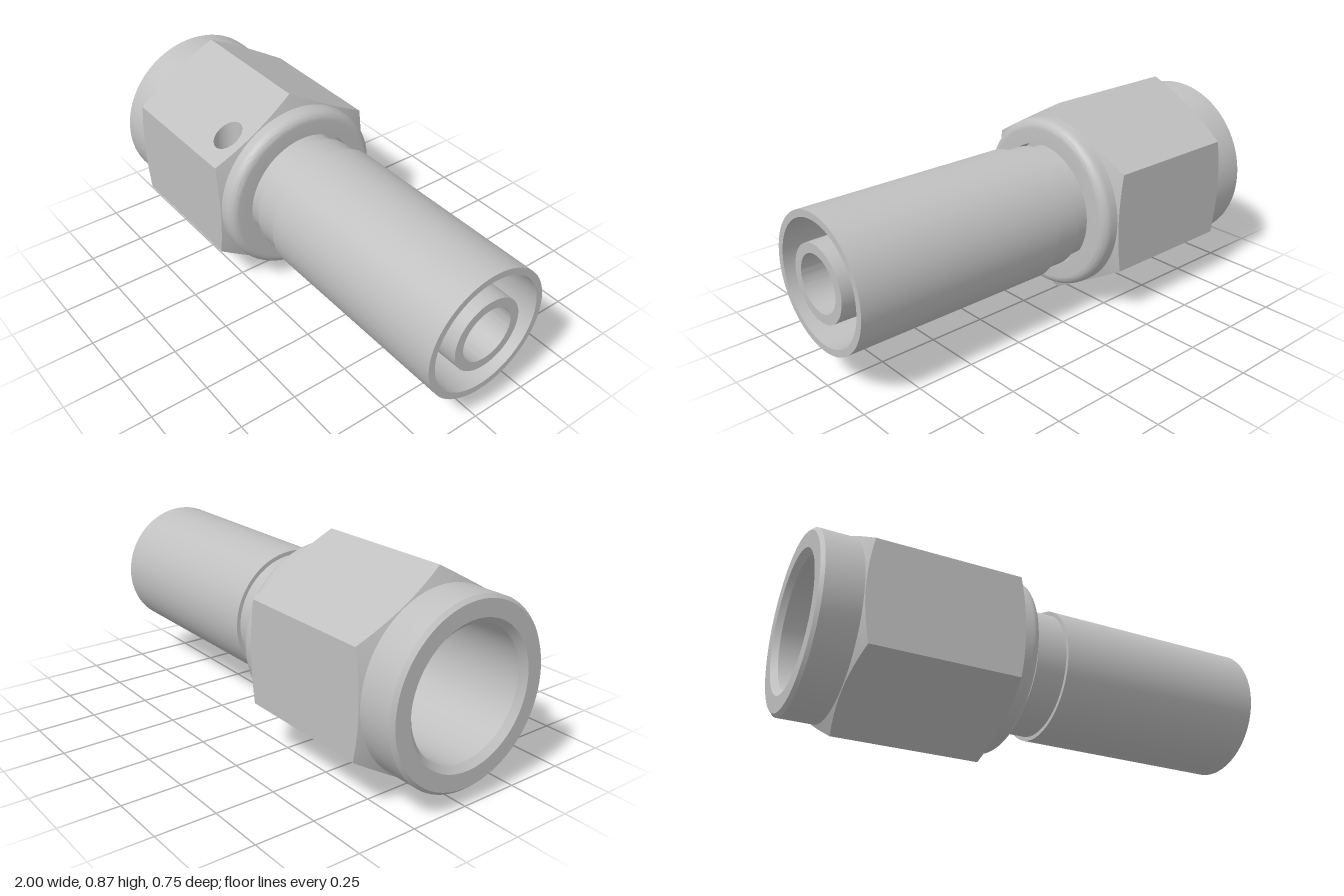
import * as THREE from 'three';
import { mergeGeometries, toCreasedNormals } from 'three/addons/utils/BufferGeometryUtils.js';

const AXIS_Y = 0.436;   // height of the long axis
const APOTHEM = 0.377;  // hex nut centre to flat
const HALF = APOTHEM * Math.tan(Math.PI / 6);
const CREASE = 0.5;

// Turned part: [x, radius] pairs, outside listed towards +x
function turned(profile) {
  const points = profile.map(([x, r]) => new THREE.Vector2(r, x));
  const g = new THREE.LatheGeometry(points, 96);
  g.rotateZ(-Math.PI / 2);
  return toCreasedNormals(g, CREASE);
}

// Ends of the hex, trimmed by shallow chamfer cones
const leftEnd = (r) => -0.835 + 0.42 * (r - APOTHEM);
const rightEnd = (r) => -0.185 - 0.34 * (r - APOTHEM);

// Positions across one flat, corner to corner
const STEPS = 16;
const across = Array.from({ length: STEPS + 1 }, (_, i) => -HALF + (2 * HALF * i) / STEPS);

// One flat of the hex, facing +z, optionally drilled
function hexFlat(hole) {
  const edge = (v, end) => new THREE.Vector2(end(Math.hypot(APOTHEM, v)), v);
  const shape = new THREE.Shape([
    ...across.map((v) => edge(v, rightEnd)),
    ...[...across].reverse().map((v) => edge(v, leftEnd)),
  ]);
  if (hole) {
    const path = new THREE.Path();
    path.absellipse(hole.x, hole.v, hole.r, hole.r / Math.cos(Math.PI / 6), 0, Math.PI * 2, true);
    shape.holes.push(path);
  }
  return new THREE.ShapeGeometry(shape, 24).translate(0, 0, APOTHEM);
}

// Chamfer strip running from a flat's curved end in to the collar
function chamfer(end, flip) {
  const inner = 0.368;
  const outerPoint = (v) => [end(Math.hypot(APOTHEM, v)), v, APOTHEM];
  const innerPoint = (v) => {
    const k = inner / Math.hypot(APOTHEM, v);
    return [end(inner), v * k, APOTHEM * k];
  };
  const pos = [];
  for (let i = 0; i < STEPS; i++) {
    const p0 = outerPoint(across[i]), p1 = outerPoint(across[i + 1]);
    const q0 = innerPoint(across[i]), q1 = innerPoint(across[i + 1]);
    const tris = flip ? [q0, p1, q1, q0, p0, p1] : [q0, q1, p1, q0, p1, p0];
    pos.push(...tris.flat());
  }
  const g = new THREE.BufferGeometry();
  g.setAttribute('position', new THREE.Float32BufferAttribute(pos, 3));
  return g;
}

export function createModel() {
  const steel = new THREE.MeshStandardMaterial({ color: 0xc0c0c0 });
  steel.name = 'steel grey';

  const model = new THREE.Group();
  model.name = 'hoseFitting';
  const body = new THREE.Group();
  body.name = 'fittingBody';
  body.position.y = AXIS_Y;
  model.add(body);
  const add = (name, geometry) => {
    const mesh = new THREE.Mesh(geometry, steel);
    mesh.name = name;
    body.add(mesh);
  };

  // Hex section of the nut, with a wire hole in the upper front flat
  const hole = { x: -0.29, v: -0.077, r: 0.061, z: 0.255 };
  const parts = [];
  for (let i = 0; i < 6; i++) {
    for (const g of [hexFlat(i === 1 ? hole : null), chamfer(rightEnd, false), chamfer(leftEnd, true)]) {
      const flat = g.index ? g.toNonIndexed() : g;
      flat.deleteAttribute('uv');
      flat.deleteAttribute('normal');
      parts.push(flat.rotateX((-i * Math.PI) / 3));
    }
  }
  add('hexNut', toCreasedNormals(mergeGeometries(parts), CREASE));

  // Walls and floor of the vertical wire hole, its rim cut along the sloping flat
  const well = new THREE.LatheGeometry([
    new THREE.Vector2(hole.r, 1),
    new THREE.Vector2(hole.r, 0.03),
    new THREE.Vector2(0, 0.03),
  ], 48);
  well.translate(hole.x, 0, hole.z);
  const p = well.attributes.position;
  for (let i = 0; i < p.count; i++) {
    if (p.getY(i) > 0.5) p.setY(i, (APOTHEM - 0.5 * p.getZ(i)) / Math.cos(Math.PI / 6));
  }
  add('wireHole', toCreasedNormals(well, CREASE));

  // Threaded end of the nut, open at the left
  add('nutRearCollar', turned([
    [-1, 0.29], [-1, 0.358], [-0.986, 0.372], [-0.8, 0.372], [-0.45, 0.3],
    [-0.45, 0.265], [-0.975, 0.265], [-1, 0.29],
  ]));

  // Rounded collar at the other end of the nut
  const round = [];
  for (let i = 0; i <= 8; i++) {
    const a = (i / 8) * Math.PI / 2;
    round.push([-0.15 + 0.04 * Math.sin(a), 0.332 + 0.04 * Math.cos(a)]);
  }
  add('nutFrontCollar', turned([
    [-0.22, 0.2], [-0.22, 0.372], ...round, [-0.11, 0.268], [-0.17, 0.268], [-0.17, 0.2],
  ]));

  // Stem with a cone seat inside the nut, a neck and a long tapered nipple
  add('stem', turned([
    [-0.6, 0.093], [-0.6, 0.14], [-0.46, 0.264], [-0.42, 0.264], [-0.42, 0.15], [-0.2, 0.15],
    [-0.2, 0.247], [-0.07, 0.247], [-0.07, 0.265], [0.08, 0.265], [0.08, 0.173],
    [1, 0.158], [1, 0.118], [0.2, 0.118], [0.2, 0.093], [-0.6, 0.093],
  ]));

  // Ferrule sleeve around the nipple
  add('ferrule', turned([
    [0.06, 0.16], [0.06, 0.282], [1, 0.282], [1, 0.253], [0.1, 0.239], [0.1, 0.16],
  ]));

  return model;
}
